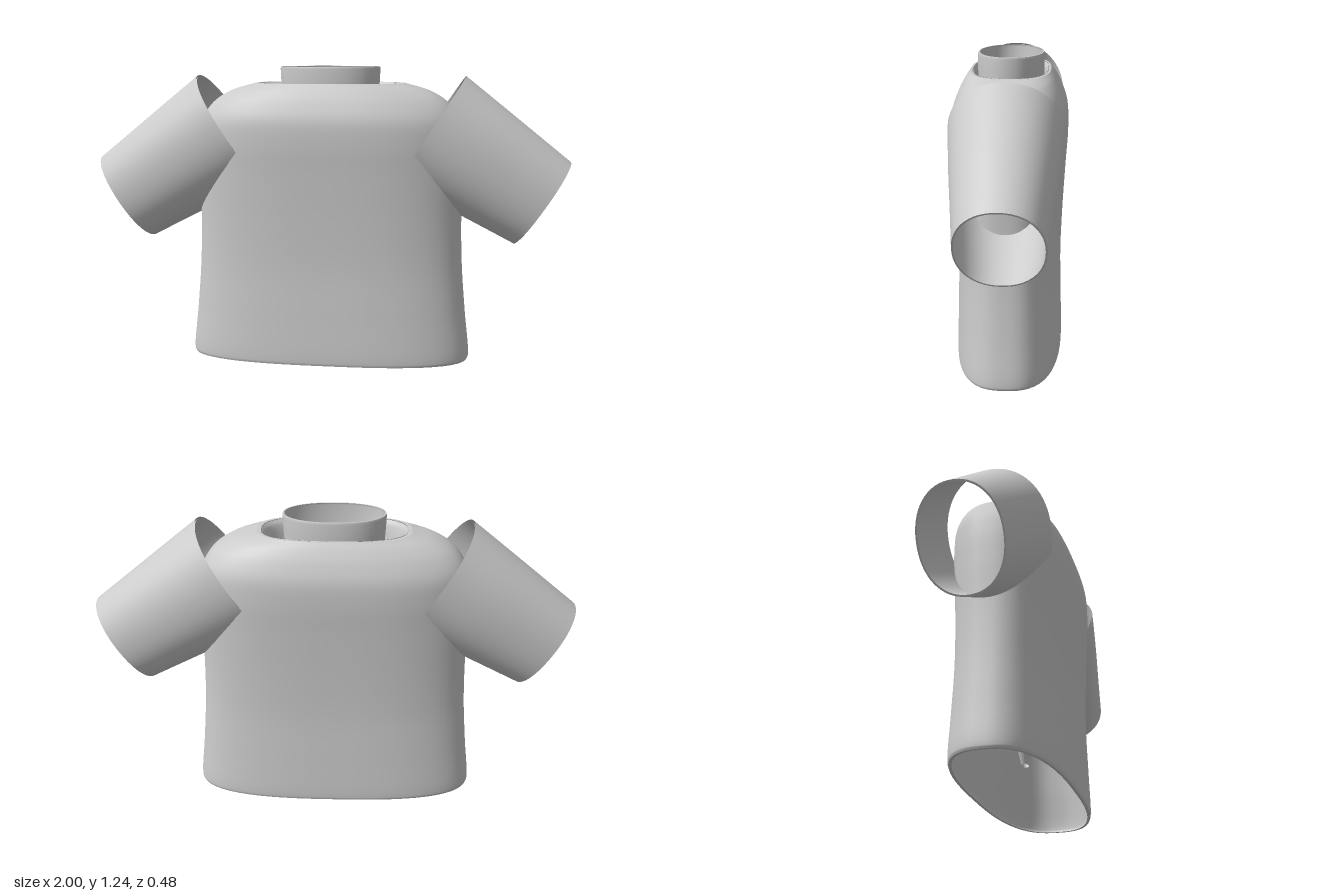
import * as THREE from 'three';

const material = new THREE.MeshStandardMaterial({ color: 0xcccccc, side: THREE.DoubleSide });
const SIDES = 72;

// Smooth skin through superellipse rings given as [half width x, height y, half depth z]
function loft(name, rings, power) {
  const pos = [], index = [];
  for (const [hx, y, hz] of rings) {
    for (let i = 0; i < SIDES; i++) {
      const t = (i / SIDES) * Math.PI * 2, c = Math.cos(t), s = Math.sin(t);
      const r = (Math.abs(c) ** power + Math.abs(s) ** power) ** (-1 / power);
      pos.push(hx * r * c, y, hz * r * s);
    }
  }
  for (let j = 0; j < rings.length - 1; j++) {
    for (let i = 0; i < SIDES; i++) {
      const k = (i + 1) % SIDES;
      const a = j * SIDES + i, b = j * SIDES + k, c = a + SIDES, d = b + SIDES;
      index.push(a, c, b, b, c, d);
    }
  }
  const geo = new THREE.BufferGeometry();
  geo.setAttribute('position', new THREE.Float32BufferAttribute(pos, 3));
  geo.setIndex(index);
  geo.computeVertexNormals();
  const mesh = new THREE.Mesh(geo, material);
  mesh.name = name;
  return mesh;
}

// Rounded profile through a few rings
function smooth(rings, steps) {
  const curve = new THREE.CatmullRomCurve3(rings.map((p) => new THREE.Vector3(...p)), false, 'centripetal');
  return curve.getPoints(steps).map((p) => p.toArray());
}

const inset = (rings, t) => rings.map(([x, y, z]) => [x - t, y, z - t]);

// Cloth with thickness: outer skin, inner skin and a flat edge at the first ring
function cloth(name, rings, power, thickness) {
  const group = new THREE.Group();
  group.name = name;
  const inner = inset(rings, thickness);
  group.add(
    loft(name + 'Outside', rings, power),
    loft(name + 'Inside', inner.slice().reverse(), power),
    loft(name + 'Edge', [inner[0], rings[0]], power),
  );
  return group;
}

export function createModel() {
  const model = new THREE.Group();
  model.name = 'shirt';

  // Torso, from hem to shoulders
  const torso = smooth([
    [0.595, 0, 0.217], [0.6, 0.012, 0.22], [0.582, 0.2, 0.217], [0.565, 0.4, 0.213],
    [0.558, 0.6, 0.219], [0.56, 0.8, 0.23], [0.557, 0.93, 0.238], [0.542, 1.02, 0.235],
    [0.495, 1.09, 0.212], [0.42, 1.138, 0.187], [0.315, 1.17, 0.165],
  ], 60);
  model.add(cloth('torso', torso, 2.7, 0.012));

  // Neck opening, rolling over the rim and running down into a narrow funnel
  model.add(loft('neckRim', [[0.315, 1.17, 0.165], [0.297, 1.17, 0.157]], 2.7));
  model.add(loft('neckFunnel', smooth([
    [0.297, 1.17, 0.157], [0.283, 1.15, 0.147], [0.26, 1.05, 0.135], [0.2, 0.75, 0.105],
    [0.11, 0.35, 0.06], [0.025, 0.13, 0.014],
  ], 30), 2.5));

  // Standing collar
  const collar = [
    [0.208, 1.238, 0.134], [0.21, 1.23, 0.137], [0.207, 1.17, 0.137], [0.195, 1.0, 0.13],
  ];
  model.add(cloth('collar', collar, 2.1, 0.006));

  // Sleeves, open at both ends, from cuff up to shoulder
  const sleeve = smooth([[0.206, 0, 0.164], [0.222, 0.16, 0.181], [0.242, 0.36, 0.203], [0.261, 0.555, 0.221]], 16);
  for (const side of [1, -1]) {
    const part = cloth(side > 0 ? 'leftSleeve' : 'rightSleeve', sleeve, 2.15, 0.007);
    part.position.set(side * 0.8875, 0.678, 0);
    part.rotation.z = side * 0.993;
    model.add(part);
  }
  return model;
}
